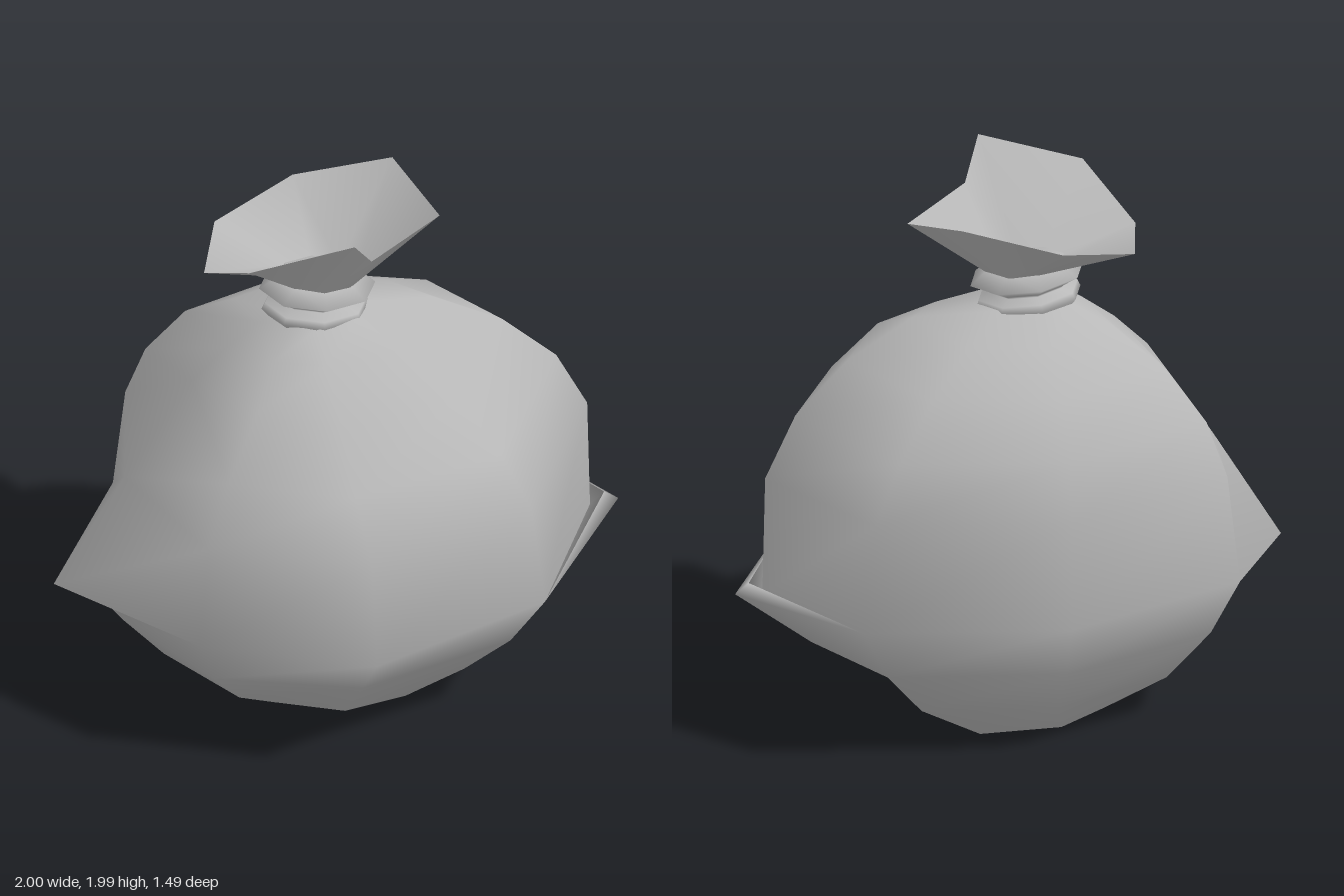
import * as THREE from 'three';
import { mergeVertices } from 'three/addons/utils/BufferGeometryUtils.js';

const DIAG = Math.SQRT1_2;

// Side profiles of the sack from neck down: [distance along the axis, height].
// Three rows meet at the widest girth; they only part at the folds on the left and right.
const east = [[0.08, 1.515], [0.35, 1.49], [0.59, 1.36], [0.78, 1.18], [0.89, 0.96], [0.9, 0.53],
  [0.95, 0.575], [1, 0.54], [0.72, 0.32], [0.45, 0.16]];
const west = [[-0.2, 1.51], [-0.27, 1.48], [-0.39, 1.39], [-0.51, 1.27], [-0.75, 0.9], [-1, 0.485],
  [-0.945, 0.48], [-0.89, 0.475], [-0.75, 0.29], [-0.61, 0.13]];
const back = [[-0.2, 1.515], [-0.36, 1.44], [-0.55, 1.32], [-0.66, 1.13], [-0.72, 0.93], [-0.745, 0.54],
  [-0.745, 0.54], [-0.745, 0.54], [-0.64, 0.33], [-0.52, 0.15]];
const front = [[0.08, 1.515], [0.19, 1.44], [0.36, 1.27], [0.52, 1.1], [0.69, 0.93], [0.745, 0.54],
  [0.745, 0.54], [0.745, 0.54], [0.585, 0.34], [0.42, 0.16]];
// Undented core of each ring: [centre x, centre z, x radius, inward press at the front right]
const core = [[-0.06, -0.06, 0.17, 1], [-0.05, -0.06, 0.36, 0.9], [-0.03, -0.05, 0.57, 0.83],
  [-0.02, -0.03, 0.75, 0.92], [0, -0.02, 0.86, 1], [0.005, -0.02, 0.92, 1], [0.005, -0.02, 0.92, 1],
  [0.005, -0.02, 0.92, 1], [-0.01, -0.03, 0.79, 1], [-0.02, -0.05, 0.6, 1]];
// Tilted flat base
const base = [[0.2, 0, -0.06], [0.19, 0, -0.31], [-0.08, 0.02, -0.39], [-0.27, 0.03, -0.3],
  [-0.29, 0.04, -0.06], [-0.27, 0.03, 0.17], [-0.04, 0.02, 0.26], [0.19, 0, 0.19]];

// Eight points of one sack ring, counter-clockwise from the model's left; the back is a little wider
function sackRing([cx, cz, rx, press], j) {
  const [zBack, y] = back[j];
  const dx = rx * DIAG, dz = (cz - zBack) * DIAG;
  return [
    [east[j][0], east[j][1], -0.06],
    [cx + dx * 1.06, y, cz - dz],
    [cx, y, zBack],
    [cx - dx * 1.06, y, cz - dz],
    [west[j][0], west[j][1], -0.06],
    [cx - dx * 0.94 * press, y, cz + dz * press],
    [cx - 0.04, front[j][1], front[j][0]],
    [cx + dx * 0.94, y, cz + dz],
  ];
}

// Skin over a list of eight-sided rings running from top to bottom
function loft(rings) {
  const n = rings[0].length;
  const index = [];
  for (let j = 0; j < rings.length - 1; j++) {
    for (let i = 0; i < n; i++) {
      const a = j * n + i, b = j * n + (i + 1) % n;
      index.push(a, a + n, b, b, a + n, b + n);
    }
  }
  return finish(rings.flat(2), index);
}

// Flat fan closing a ring, facing down
function bottomFan(ring) {
  const index = [];
  for (let i = 1; i < ring.length - 1; i++) index.push(0, i + 1, i);
  return finish(ring.flat(), index);
}

// Weld coinciding points so that shading runs smoothly across them
function finish(positions, index) {
  const g = new THREE.BufferGeometry();
  g.setAttribute('position', new THREE.Float32BufferAttribute(positions, 3));
  g.setIndex(index);
  const welded = mergeVertices(g);
  welded.computeVertexNormals();
  return welded;
}

export function createModel() {
  const group = new THREE.Group();
  const cloth = new THREE.MeshStandardMaterial({ color: 0xb8b8b8, side: THREE.DoubleSide });
  cloth.name = 'grey cloth';
  const add = (name, geometry) => {
    const mesh = new THREE.Mesh(geometry, cloth);
    mesh.name = name;
    group.add(mesh);
    return mesh;
  };

  // Sagging sack with a fold on each side
  add('sackBody', loft([...core.map(sackRing), base]));
  add('sackBase', bottomFan(base));

  // Two bands of cord round the neck
  const cord = [[0.8, -0.08], [0.98, -0.04], [0.93, -0.015], [0.68, 0.0], [0.75, 0.012],
    [1.06, 0.045], [0.7, 0.095], [0, 0.095]].map(([r, y]) => new THREE.Vector2(r, y));
  const neck = add('neckCord', new THREE.LatheGeometry(cord, 8));
  neck.scale.set(0.195, 1, 0.155);
  neck.position.set(-0.068, 1.553, -0.07);
  neck.rotation.z = -0.08;

  // Flared cloth above the cord
  const rim = [[0.365, 1.84, -0.05], [0.26, 1.91, -0.33], [-0.07, 1.815, -0.435], [-0.37, 1.735, -0.33],
    [-0.47, 1.725, -0.05], [-0.365, 1.88, 0.2], [-0.01, 1.99, 0.28], [0.07, 1.855, 0.19]];
  const throat = rim.map((_, i) => {
    const a = i * Math.PI / 4;
    return [-0.065 + 0.135 * Math.cos(a), 1.635 - 0.02 * Math.cos(a), -0.07 - 0.11 * Math.sin(a)];
  });
  add('flaredTop', loft([rim, throat]));

  return group;
}
